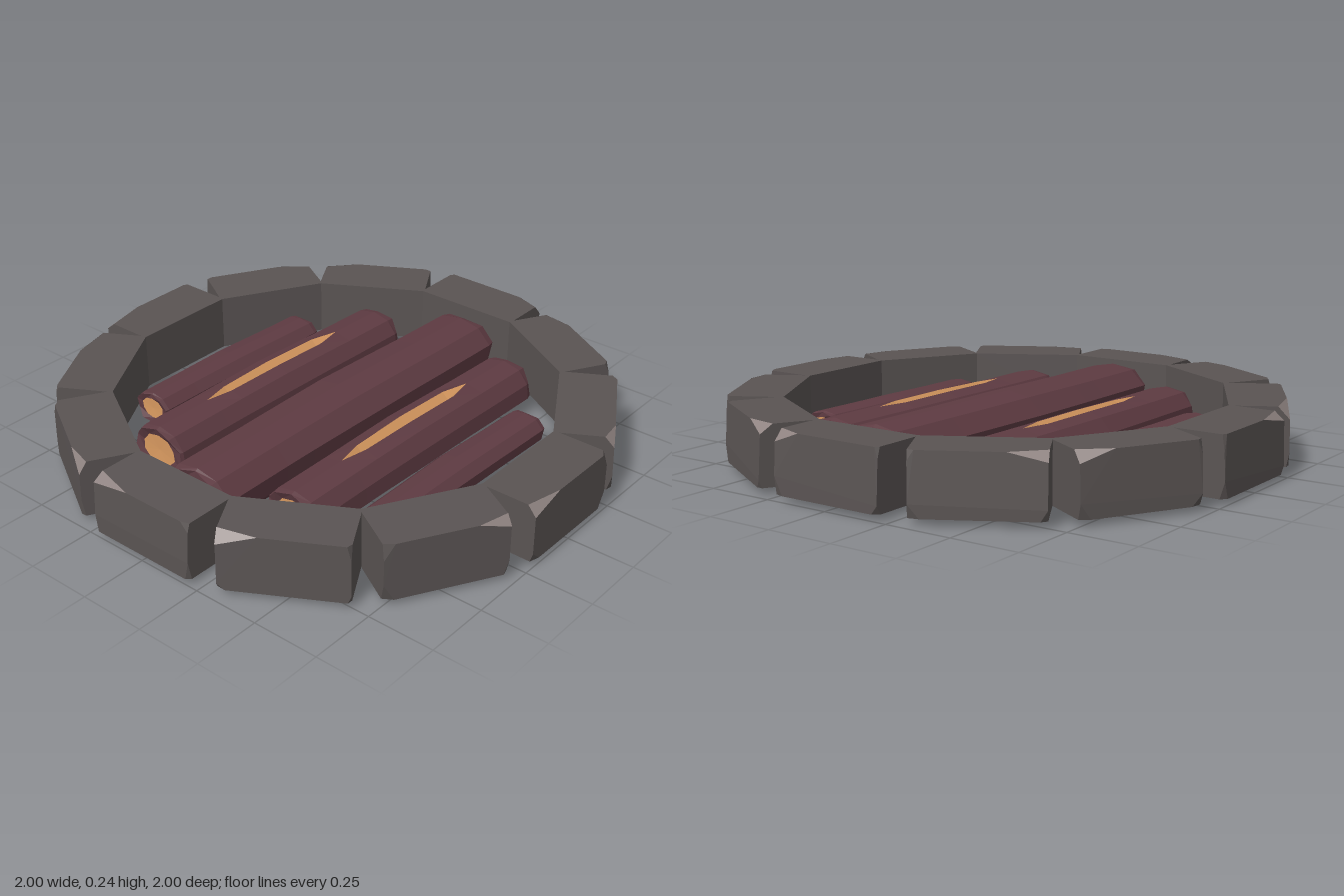
import * as THREE from 'three';
import { ConvexGeometry } from 'three/addons/geometries/ConvexGeometry.js';

const material = (color) => new THREE.MeshStandardMaterial({ color, flatShading: true, side: THREE.DoubleSide });
const stoneMat = material(0x5a5453);
const chipMat = material(0x8f8381);
const barkMat = material(0x5e3b42);
const woodMat = material(0xd99a60);

// Small repeatable number source for chip sizes
let seed = 7;
const rand = (a, b) => {
  seed = (seed * 16807) % 2147483647;
  return a + (b - a) * (seed / 2147483647);
};

function triangles(points, mat, name) {
  const geo = new THREE.BufferGeometry().setFromPoints(points);
  geo.computeVertexNormals();
  const mesh = new THREE.Mesh(geo, mat);
  mesh.name = name;
  return mesh;
}

// Block with the outside facing +z; one top outer corner is chipped to pale stone
function makeStone(chipSide) {
  const stone = new THREE.Group();
  const w = 0.216, h = 0.107, d = 0.107;
  const lean = rand(0, 0.015);
  const points = [];
  for (const x of [-1, 1]) for (const y of [-1, 1]) for (const z of [-1, 1]) {
    const corner = new THREE.Vector3(x * w, y * h, z * d - (z > 0 && y > 0 ? lean : 0));
    if (z < 0) {
      points.push(corner);
      continue;
    }
    // Cut the outer corners by three points
    const pale = y > 0 && x === chipSide;
    const cut = pale ? [rand(0.08, 0.16), rand(0.025, 0.05), rand(0.025, 0.045)]
      : [rand(0.01, 0.04), rand(0.02, 0.07), rand(0.008, 0.02)];
    const trio = [
      corner.clone().add(new THREE.Vector3(-x * cut[0], 0, 0)),
      corner.clone().add(new THREE.Vector3(0, -y * cut[1], 0)),
      corner.clone().add(new THREE.Vector3(0, 0, -cut[2])),
    ];
    points.push(...trio);
    if (pale) {
      const order = x > 0 ? [trio[0], trio[1], trio[2]] : [trio[0], trio[2], trio[1]];
      stone.add(triangles(order.map((p) => p.clone().multiplyScalar(1.004)), chipMat, 'stoneChip'));
    }
  }
  const block = new THREE.Mesh(new ConvexGeometry(points), stoneMat);
  block.name = 'stoneBlock';
  stone.add(block);
  return stone;
}

// Log of unit length along x; a V-shaped split runs along its top (or its underside)
function makeLog(flipped, drift) {
  // x, thickness, sideways shift, half width of the split
  const stations = [
    [-0.5, 0.95, 0, 0], [-0.485, 1, 0, 0], [-0.29, 1, 0, 0], [-0.2, 1.01, 0, 0.017],
    [0, 1.04, 0.002, 0.021], [0.2, 1.01, 0.009, 0.02], [0.29, 1, 0.013, 0],
    [0.48, 0.99, 0.019, 0], [0.5, 0.92, 0.02, 0],
  ];
  const wobble = [1, 0.96, 1.03, 1, 0.95, 1, 1.02, 0.98, 1];
  const rings = stations.map(([x, s, shift, split], k) => {
    const end = k === 0 || k === stations.length - 1;
    const ring = [];
    const top = 0.076 * s;
    ring.push(new THREE.Vector3(x, top - split, shift * drift));
    ring.push(new THREE.Vector3(x, top, shift * drift + split));
    wobble.forEach((r, i) => {
      const a = (i + 1) * Math.PI / 5;
      const notch = end ? Math.sign(x) * 0.008 * Math.cos(i * 2.3) : 0;
      ring.push(new THREE.Vector3(x + notch, Math.cos(a) * 0.078 * s * r, Math.sin(a) * 0.1 * s * r + shift * drift));
    });
    ring.push(new THREE.Vector3(x, top, shift * drift - split));
    return ring;
  });
  const n = rings[0].length;
  const bark = [], wood = [];
  for (let k = 0; k < rings.length - 1; k++) {
    for (let i = 0; i < n; i++) {
      const j = (i + 1) % n;
      const [a, b, c, d] = [rings[k][i], rings[k][j], rings[k + 1][j], rings[k + 1][i]];
      (i === 0 || i === n - 1 ? wood : bark).push(a, b, c, a, c, d);
    }
  }
  // Ends: bark rim around a smaller cut face
  for (const side of [-1, 1]) {
    const rim = side > 0 ? rings[rings.length - 1] : rings[0];
    const centre = new THREE.Vector3(side * 0.492, 0, side > 0 ? 0.02 * drift : 0);
    const face = rim.map((p) => centre.clone().lerp(p, 0.68).setX(side * 0.494));
    for (let i = 0; i < n; i++) {
      const j = (i + 1) % n;
      const [p, q] = side > 0 ? [i, j] : [j, i];
      bark.push(rim[p], rim[q], face[q], rim[p], face[q], face[p]);
      wood.push(centre, face[p], face[q]);
    }
  }
  const log = new THREE.Group();
  log.add(triangles(bark, barkMat, 'bark'), triangles(wood, woodMat, 'cutWood'));
  if (flipped) log.rotation.x = Math.PI;
  return log;
}

export function createModel() {
  const model = new THREE.Group();
  model.name = 'firePit';

  // Ring of twelve stones
  const ring = new THREE.Group();
  ring.name = 'stoneRing';
  const chips = [-1, -1, 1, -1, 1, -1, 1, -1, 1, -1, -1, 1];
  chips.forEach((side, k) => {
    const a = k * Math.PI / 6;
    const stone = makeStone(side);
    stone.name = 'stone';
    stone.position.set(Math.sin(a) * 0.893, 0.128, Math.cos(a) * 0.893);
    stone.rotation.y = a;
    ring.add(stone);
  });
  model.add(ring);

  // Five logs: name, length, x, y, z, split underneath
  const logs = [
    ['backSmallLog', 0.83, 0.01, 0.09, -0.563, true],
    ['backLog', 1.21, 0, 0.1, -0.325, false],
    ['middleLog', 1.49, -0.01, 0.117, 0.005, true],
    ['frontLog', 1.21, 0, 0.1, 0.305, false],
    ['frontSmallLog', 0.83, -0.03, 0.09, 0.553, true],
  ];
  for (const [name, length, x, y, z, under] of logs) {
    const log = makeLog(under, under ? -1 : 1);
    log.name = name;
    log.scale.setScalar(length);
    log.position.set(x, y, z);
    model.add(log);
  }
  return model;
}
